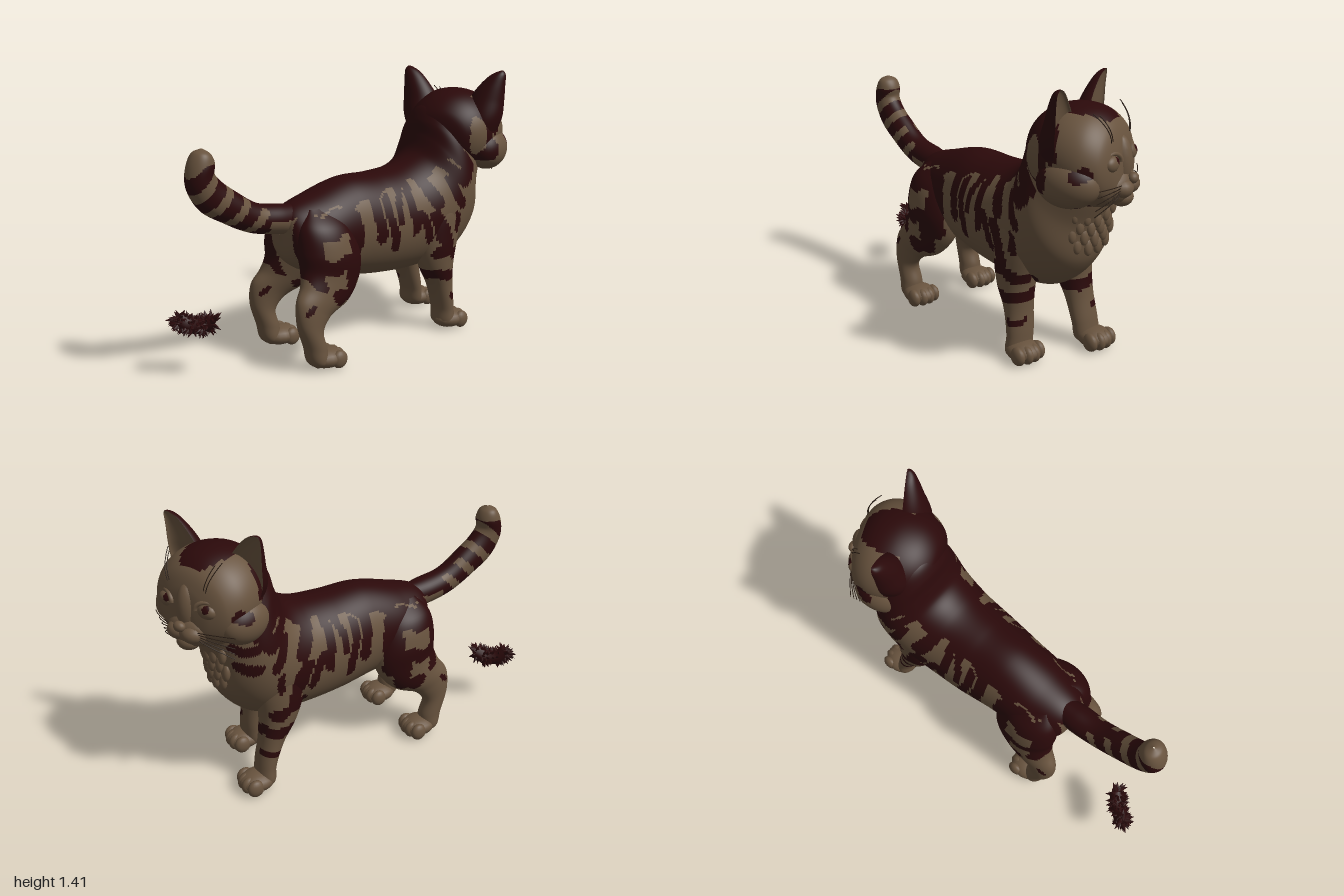
import * as THREE from 'three';
import { mergeGeometries } from 'three/addons/utils/BufferGeometryUtils.js';

const fur = new THREE.MeshStandardMaterial({ color: 0x68533e });
fur.name = 'tan fur';
const dark = new THREE.MeshStandardMaterial({ color: 0x2b090a });
dark.name = 'dark marking';
const hair = new THREE.MeshStandardMaterial({ color: 0x2a1d14 });
hair.name = 'whisker brown';

// Skin through oval sections; row = [ax, ay, bx, by, halfWidth, zCentre], a and b being opposite edges
function loft(rows, rings, segs, hollow = 1) {
  const A = new THREE.CatmullRomCurve3(rows.map(r => new THREE.Vector3(r[0], r[1], r[4])));
  const B = new THREE.CatmullRomCurve3(rows.map(r => new THREE.Vector3(r[2], r[3], r[5] || 0)));
  const pos = [], idx = [];
  for (let i = 0; i <= rings; i++) {
    const a = A.getPoint(i / rings), b = B.getPoint(i / rings);
    for (let j = 0; j < segs; j++) {
      const t = j / segs * Math.PI * 2, c = Math.cos(t) * (Math.cos(t) < 0 ? hollow : 1);
      pos.push((a.x + b.x + (a.x - b.x) * c) / 2, (a.y + b.y + (a.y - b.y) * c) / 2,
        b.z + Math.max(a.z, 0.001) * Math.sin(t));
      if (i === rings) continue;
      const k = i * segs, n = (j + 1) % segs;
      idx.push(k + j, k + n, k + segs + j, k + n, k + segs + n, k + segs + j);
    }
  }
  const g = new THREE.BufferGeometry();
  g.setAttribute('position', new THREE.Float32BufferAttribute(pos, 3));
  g.setIndex(idx);
  g.computeVertexNormals();
  return g;
}

// Sort pairs of faces into plain fur and marking by a rule on their centre and normal
function painted(name, g, rule) {
  const p = g.attributes.position, src = g.index.array, lists = [[], []];
  const v = Array.from({ length: 6 }, () => new THREE.Vector3()), n = new THREE.Vector3();
  for (let i = 0; i < src.length; i += 6) {
    v.forEach((q, k) => q.fromBufferAttribute(p, src[i + k]));
    THREE.Triangle.getNormal(v[0], v[1], v[2], n);
    const m = v.reduce((sum, q) => sum.addScaledVector(q, 1 / 6), new THREE.Vector3());
    lists[rule(m.x, m.y, m.z, n) ? 1 : 0].push(...src.slice(i, i + 6));
  }
  g.setIndex([...lists[0], ...lists[1]]);
  g.addGroup(0, lists[0].length, 0);
  g.addGroup(lists[0].length, lists[1].length, 1);
  const mesh = new THREE.Mesh(g, [fur, dark]);
  mesh.name = name;
  return mesh;
}

function ball(name, x, y, z, rx, ry, rz) {
  const mesh = new THREE.Mesh(new THREE.SphereGeometry(1, 18, 12), fur);
  mesh.name = name;
  mesh.position.set(x, y, z);
  mesh.scale.set(rx, ry, rz);
  return mesh;
}

const inStroke = (x, y, [x1, y1, x2, y2, r]) => {
  const dx = x2 - x1, dy = y2 - y1;
  const t = THREE.MathUtils.clamp(((x - x1) * dx + (y - y1) * dy) / (dx * dx + dy * dy), 0, 1);
  return Math.hypot(x - x1 - t * dx, y - y1 - t * dy) < r;
};

// Coat strokes in side view: thigh, flank, shoulder and neck
const strokes = [
  [-.42, .72, -.4, .56, .05], [-.38, .53, -.12, .54, .038], [-.14, .74, -.14, .5, .06], [-.38, .72, -.15, .73, .055],
  [-.4, .53, -.38, .44, .035], [-.18, .5, -.2, .36, .04], [-.3, .4, -.24, .35, .03], [-.45, .34, -.44, .35, .018],
  [.02, .85, .03, .62, .032], [.09, .8, .1, .64, .024], [.1, .64, .14, .53, .025], [.19, .86, .15, .67, .02],
  [.24, .84, .25, .62, .026], [.33, .88, .42, .74, .038], [.29, .68, .36, .56, .03], [.38, .68, .48, .5, .036],
  [.41, .47, .56, .44, .035], [.46, .95, .6, .84, .036], [.5, .84, .57, .73, .03], [.53, .67, .54, .59, .02],
  [.56, 1, .63, .9, .04]];
const backLine = [[-.5, .74], [-.3, .79], [-.05, .8], [.1, .83], [.3, .86], [.42, .88], [.5, .95], [.6, 1], [.7, 1.15]];

function coat(x, y, z) {
  const wx = x + .009 * Math.sin(y * 27), wy = y + .014 * Math.sin(x * 37);
  let k = 0;
  while (k < backLine.length - 2 && backLine[k + 1][0] < x) k++;
  const [x0, y0] = backLine[k], [x1, y1] = backLine[k + 1];
  if (wy > y0 + (y1 - y0) * (x - x0) / (x1 - x0)) return true;
  // Two collar strokes on the right of the chest only
  if (z < -.08 && (inStroke(wx, wy, [.66, .83, .74, .85, .028]) || inStroke(wx, wy, [.66, .72, .74, .76, .026]))) return true;
  return Math.abs(z) > .09 && strokes.some(s => inStroke(wx, wy, s));
}

function headCoat(x, y, z) {
  const w = .012 * Math.sin(y * 30), s = Math.abs(z);
  // Pale island behind the ear, larger on the left
  if (s > .08 && Math.hypot((x + .155) / .045, (y - .02) / (z > 0 ? .1 : .04)) < 1) return false;
  if (x + w < -.07 && y > -.12) return true;
  if (x < .15 && y > .15 + s * .6 && s < .13) return true;
  return s > .1 && [[-.09, .18, -.04, .05, .035], [.07, -.025, .115, -.005, .027],
    [.08, -.19, .09, -.19, .018]].some(q => inStroke(x + w, y, q));
}

// Paw with four toes
function paw(x, z) {
  const g = new THREE.Group();
  g.name = 'paw';
  g.add(ball('pawPad', x, .052, z, .095, .052, .085));
  for (let i = 0; i < 4; i++) {
    const o = i - 1.5;
    g.add(ball('toe', x + .058 - Math.abs(o) * .014, .048, z + o * .042, .045, .047, .029));
  }
  return g;
}

function makeHead() {
  const head = new THREE.Group();
  head.name = 'head';
  head.position.set(.74, 1.05, .015);
  head.rotation.y = .42;
  head.add(painted('skull', loft([
    [-.25, .04, -.25, 0, .01], [-.22, .15, -.21, -.12, .15], [-.14, .22, -.13, -.19, .225], [-.03, .25, -.02, -.215, .262],
    [.08, .235, .08, -.22, .26], [.155, .185, .16, -.205, .22], [.195, .11, .2, -.17, .15], [.21, .03, .215, -.12, .08],
    [.215, -.03, .215, -.06, .005]], 80, 90), headCoat));
  // Nose bridge, broad muzzle, nose and chin
  head.add(ball('noseBridge', .175, -.005, 0, .062, .13, .06), ball('muzzleBase', .175, -.11, 0, .075, .085, .125),
    ball('chin', .195, -.165, 0, .055, .045, .06), ball('nose', .247, -.07, 0, .025, .026, .032));
  for (const s of [1, -1]) {
    const cheek = new THREE.SphereGeometry(1, 48, 32).scale(.15, .115, .105).translate(.015, -.075, s * .195);
    head.add(painted('cheek', cheek, headCoat));
    head.add(ball('muzzle', .205, -.112, s * .042, .058, .047, .062));
    // Eye with raised iris, under a heavy lid
    const eye = new THREE.SphereGeometry(1, 48, 32).scale(.034, .04, .054).translate(.182, .015, s * .118);
    head.add(painted('eye', eye, (x, y, z) => x > .19 && Math.hypot(y - .034, z - s * .118 + .014) < .018));
    const lid = new THREE.Mesh(new THREE.TorusGeometry(.052, .012, 8, 24, Math.PI), fur);
    lid.name = 'eyelid';
    lid.position.set(.188, .02, s * .118);
    lid.rotation.y = Math.PI / 2 - s * .45;
    lid.scale.y = .8;
    head.add(lid);
    // Cupped ear with dark back
    head.add(painted('ear', loft([
      [-.13, .0, .06, .0, .075, s * .17], [-.13, .1, .09, .1, .105, s * .178], [-.1, .2, .075, .18, .098, s * .192],
      [-.07, .28, .05, .27, .07, s * .222], [-.04, .335, .03, .33, .04, s * .252], [-.015, .354, .015, .352, .012, s * .268],
      [0, .356, .005, .356, .002, s * .27]], 36, 40, -.4),
    (x, y, z, n) => n.x < .05));
    // Whiskers and brow hairs
    const strand = (...points) => {
      const curve = new THREE.QuadraticBezierCurve3(...points.map(p => new THREE.Vector3(p[0], p[1], p[2] * s)));
      const m = new THREE.Mesh(new THREE.TubeGeometry(curve, 10, .0022, 5), hair);
      m.name = 'whisker';
      head.add(m);
    };
    const reach = s > 0 ? .225 : .27;
    for (let i = 0; i < 5; i++)
      strand([.225, -.09 - i * .008, .07], [.225, -.08 - i * .016, .15], [.17 - i * .008, -.085 - i * .034, reach - i * .01]);
    for (let i = 0; i < 2; i++)
      strand([.18, .1, .1 + i * .015], [.19, .17, .12 + i * .015], [.13 - i * .02, .23 + i * .01, .14 + i * .025]);
  }
  return head;
}

// Loose shaggy tuft lying behind the body
function makeTuft() {
  let seed = 7;
  const rnd = () => (seed = (seed * 16807) % 2147483647) / 2147483647;
  const path = new THREE.CatmullRomCurve3([[-.945, .3, -.165], [-.91, .27, -.14], [-.86, .265, -.095], [-.82, .29, -.055]]
    .map(p => new THREE.Vector3(...p)));
  const parts = [new THREE.TubeGeometry(path, 16, .04, 12)];
  const up = new THREE.Vector3(0, 1, 0);
  for (let i = 0; i < 220; i++) {
    const t = rnd(), d = new THREE.Vector3(rnd() - .5, rnd() - .5, rnd() - .5).normalize();
    d.x -= .35;
    d.normalize();
    parts.push(new THREE.ConeGeometry(.015, .05, 5).translate(0, .025, 0)
      .applyQuaternion(new THREE.Quaternion().setFromUnitVectors(up, d))
      .translate(...path.getPoint(t).addScaledVector(d, .018).toArray()));
  }
  const tuft = new THREE.Mesh(mergeGeometries(parts), dark);
  tuft.name = 'looseTuft';
  return tuft;
}

export function createModel() {
  const cat = new THREE.Group();
  cat.name = 'cat';

  // Torso and neck, top edge against bottom edge
  cat.add(painted('torso', loft([
    [-.45, .71, -.45, .67, .005], [-.42, .8, -.42, .53, .12], [-.25, .86, -.25, .43, .195], [-.05, .91, -.05, .385, .212],
    [.15, .908, .15, .355, .235], [.33, .925, .4, .345, .25], [.43, .98, .62, .38, .265], [.47, 1.07, .77, .53, .265],
    [.49, 1.15, .81, .72, .24], [.54, 1.22, .86, .87, .2], [.66, 1.22, .86, .95, .1]], 160, 120), coat));

  for (const s of [1, -1]) {
    // Front leg; the right one steps ahead and stands slightly further in
    const step = s > 0 ? 0 : .11, inset = s > 0 ? 0 : .012, lean = y => step * Math.max(0, 1 - y / .7);
    const front = [
      [.56, .82, .42, .82, .02, .14], [.62, .72, .38, .72, .09, .16], [.61, .56, .34, .52, .11, .16],
      [.57, .4, .37, .37, .095, .17], [.56, .27, .43, .25, .08, .175], [.565, .13, .465, .12, .077, .182],
      [.56, .04, .465, .04, .07, .19], [.52, .005, .51, .005, .005, .19]]
      .map(([ax, ay, bx, by, w, z]) => [ax + lean(ay), ay, bx + lean(by), by, w, s * (z - inset)]);
    cat.add(painted('frontLeg', loft(front, 64, 48), (x, y, z) => {
      const wy = y + .008 * Math.sin(z * 40 + x * 20);
      return Math.abs(wy - .335) < .03 || (Math.abs(wy - .21) < .016 && x > .5 && Math.abs(z) > .18)
        || (y > .4 && Math.abs(z) > .17 && coat(x, y, z));
    }));
    cat.add(paw(.553 + step, s * (.195 - inset)));

    // Hind leg with thigh, hock and foot
    const hind = [
      [-.2, .8, -.34, .8, .02, .1], [-.12, .7, -.41, .72, .095, .122], [-.07, .55, -.43, .6, .118, .14],
      [-.085, .43, -.425, .51, .105, .152], [-.17, .325, -.445, .44, .085, .175], [-.3, .265, -.49, .37, .064, .195],
      [-.35, .2, -.495, .26, .056, .205], [-.33, .11, -.455, .13, .06, .205], [-.33, .04, -.43, .045, .06, .205],
      [-.37, .005, -.38, .005, .005, .205]].map(r => [...r.slice(0, 5), s * r[5]]);
    cat.add(painted('hindLeg', loft(hind, 76, 52), coat));
    cat.add(paw(-.32, s * .2));
  }

  // Ringed tail with pale tip
  cat.add(painted('tail', loft([
    [-.36, .66, -.33, .81, .06], [-.47, .68, -.45, .83, .076], [-.63, .715, -.58, .855, .072], [-.78, .79, -.7, .93, .07],
    [-.9, .87, -.79, 1, .068], [-.962, .985, -.825, 1.045, .068], [-.955, 1.08, -.82, 1.09, .068],
    [-.925, 1.14, -.84, 1.135, .05], [-.885, 1.16, -.875, 1.16, .003]], 100, 48), (x, y, z, n) => {
    if (y > 1.09) return false;
    if (x > -.55) return n.y > .05;
    const ring = Math.sin((y - x) * 40 + z * 6 - 1.03) > -.25;
    return ring || (n.y > .75 && x > -.72);
  }));

  // Ruff of tufts on the chest
  for (let r = 0; r < 4; r++)
    for (let i = 0; i < 5 - (r % 2); i++) {
      const z = (i - (4 - (r % 2)) / 2) * .06;
      const lock = ball('chestTuft', .812 - r * .007 - z * z * 1.7, .76 - r * .05 + Math.abs(z) * .3, z - .02, .02, .045, .026);
      lock.rotation.z = .12;
      cat.add(lock);
    }

  cat.add(makeHead(), makeTuft());
  return cat;
}
